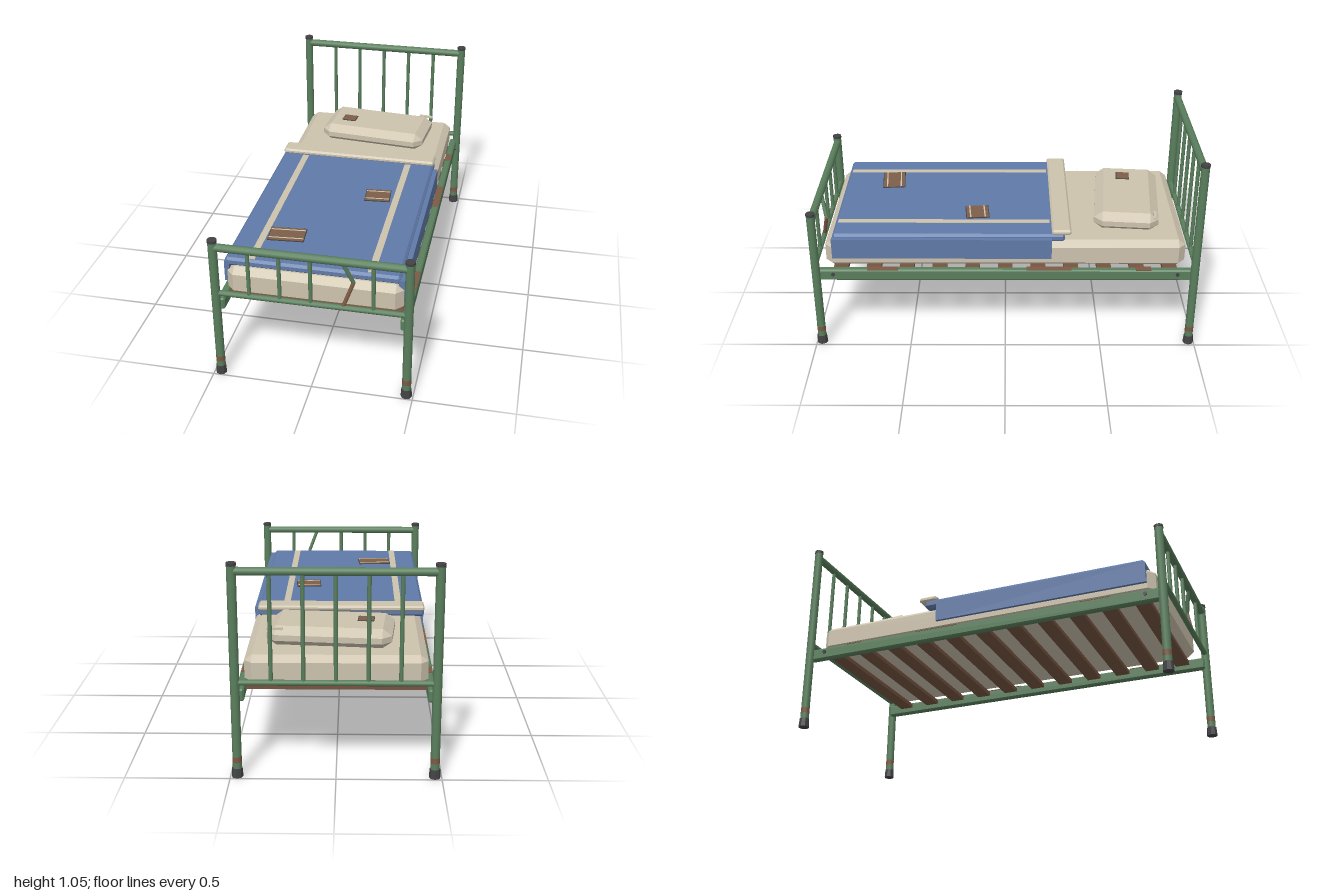
import * as THREE from 'three';
import { ConvexGeometry } from 'three/addons/geometries/ConvexGeometry.js';

const paint = (name, hex) => {
  const m = new THREE.MeshStandardMaterial({ color: hex });
  m.name = name;
  return m;
};

export function createModel() {
  const green = paint('green enamel', 0x5a7f5d);
  const dark = paint('dark rubber', 0x434245);
  const cream = paint('cream linen', 0xcdc3ae);
  const blue = paint('blue wool', 0x607aa8);
  const wood = paint('slat wood', 0x76543f);
  const rust = paint('rust', 0x7c5a45);
  const patchBrown = paint('patch brown', 0x7d5f48);

  const model = new THREE.Group();
  model.name = 'bed';

  const add = (name, geometry, material, x = 0, y = 0, z = 0, parent = model) => {
    const mesh = new THREE.Mesh(geometry, material);
    mesh.name = name;
    mesh.position.set(x, y, z);
    parent.add(mesh);
    return mesh;
  };
  const box = (w, h, d) => new THREE.BoxGeometry(w, h, d);

  // Box with all edges and corners cut: c sideways, cy in height
  const chamferBox = (w, h, d, c, cy = c) => {
    const points = [];
    for (const sx of [-1, 1]) for (const sy of [-1, 1]) for (const sz of [-1, 1]) {
      const x = w / 2, y = h / 2, z = d / 2;
      for (const [px, py, pz] of [[x, y - cy, z - c], [x - c, y, z - c], [x - c, y - cy, z]])
        points.push(new THREE.Vector3(sx * px, sy * py, sz * pz));
    }
    return new ConvexGeometry(points);
  };

  // Round bar between two points
  const bar = (name, a, b, r, material, parent, sides = 12) => {
    const from = new THREE.Vector3(...a), to = new THREE.Vector3(...b);
    const dir = to.clone().sub(from);
    const mesh = add(name, new THREE.CylinderGeometry(r, r, dir.length(), sides), material, 0, 0, 0, parent);
    mesh.position.copy(from).add(to).multiplyScalar(0.5);
    mesh.quaternion.setFromUnitVectors(new THREE.Vector3(0, 1, 0), dir.normalize());
  };

  // Headboard and footboard frames
  const PX = 0.467, PZ = 0.972, LOW = 0.477;
  const endFrame = (name, z, postTop, railY, bent) => {
    const frame = new THREE.Group();
    frame.name = name;
    model.add(frame);
    for (const x of [-PX, PX]) {
      bar('post', [x, 0.02, z], [x, postTop - 0.012, z], 0.022, green, frame);
      bar('postCap', [x, postTop - 0.014, z], [x, postTop, z], 0.0235, dark, frame);
      bar('rustBand', [x, 0.077, z], [x, 0.105, z], 0.0225, rust, frame);
      const foot = new THREE.CylinderGeometry(0.025, 0.028, 0.046, 8).toNonIndexed();
      foot.computeVertexNormals();
      add('rubberFoot', foot, dark, x, 0.023, z, frame);
    }
    bar('topRail', [-PX, railY, z], [PX, railY, z], 0.02, green, frame);
    bar('lowerRail', [-PX, LOW, z], [PX, LOW, z], 0.014, green, frame);
    for (const x of [-0.3, -0.15, 0, 0.15, 0.3]) {
      if (bent && x === 0.15) {
        const knee = [0.2, 0.605, z - 0.028];
        bar('bentSpindleUpper', [x, railY, z], knee, 0.01, green, frame, 8);
        bar('bentSpindleLower', knee, [0.153, LOW, z], 0.01, rust, frame, 8);
      } else bar('spindle', [x, LOW, z], [x, railY, z], 0.01, green, frame, 8);
    }
  };
  endFrame('headboard', -PZ, 1.05, 1.01, false);
  endFrame('footboard', PZ, 0.775, 0.733, true);

  // Side rails with bolts and rust patches
  for (const s of [-1, 1]) {
    add('sideRail', chamferBox(0.038, 0.062, 1.94, 0.007), green, s * 0.446, 0.411, 0);
    for (const z of [-0.885, 0.885])
      bar('bolt', [s * 0.46, 0.418, z], [s * 0.471, 0.418, z], 0.01, dark, model, 8);
    for (const [z, length] of [[-0.71, 0.08], [-0.225, 0.23], [0.63, 0.16]])
      add('railRust', box(0.034, 0.004, length), rust, s * 0.446, 0.442, z);
  }

  // Slats
  for (let i = 0; i < 11; i++)
    add('slat', box(0.85, 0.022, 0.075), wood, 0, 0.421, -0.85 + i * 0.17);

  // Mattress
  add('mattress', chamferBox(0.86, 0.145, 1.85, 0.036, 0.028), cream, 0, 0.512, 0);

  // Blanket top, hanging sides and folded sheet
  add('blanketTop', chamferBox(0.857, 0.044, 1.19, 0.012), blue, -0.016, 0.6, 0.29);
  add('blanketSide', box(0.032, 0.11, 1.125), blue, 0.421, 0.55, 0.325);
  add('blanketSide', box(0.025, 0.11, 1.125), blue, -0.433, 0.55, 0.325);
  add('sheetFold', chamferBox(0.857, 0.028, 0.1, 0.009), cream, -0.016, 0.631, -0.288);
  for (const x of [-0.313, 0.27])
    add('blanketStripe', box(0.034, 0.004, 1.1), cream, x, 0.622, 0.32);

  // Sewn patches with a dark stitched edge
  const patch = (name, x, y, z, w, d, turn, lines) => {
    const group = new THREE.Group();
    group.name = name;
    group.position.set(x, y, z);
    group.rotation.y = turn;
    model.add(group);
    add('patchEdge', box(w + 0.008, 0.004, d + 0.008), dark, 0, 0, 0, group);
    add('patchCloth', box(w, 0.006, d), patchBrown, 0, 0.001, 0, group);
    if (lines) for (const s of [-1, 1])
      add('patchLine', box(w, 0.002, 0.007), cream, 0, 0.0045, s * d * 0.33, group);
  };
  patch('blanketPatch', 0.17, 0.623, 0.148, 0.125, 0.115, 0.08, true);
  patch('blanketPatch', -0.2, 0.623, 0.622, 0.175, 0.115, 0.08, true);

  // Pillow
  const pillow = add('pillow', chamferBox(0.6, 0.095, 0.335, 0.045, 0.033), cream, 0.025, 0.632, -0.65);
  pillow.rotation.y = -0.09;
  add('pillowCrease', box(0.075, 0.01, 0.016), cream, 0.295, 0.672, -0.772).rotation.y = -0.09;
  patch('pillowPatch', -0.142, 0.68, -0.645, 0.072, 0.064, -0.09, false);

  return model;
}
